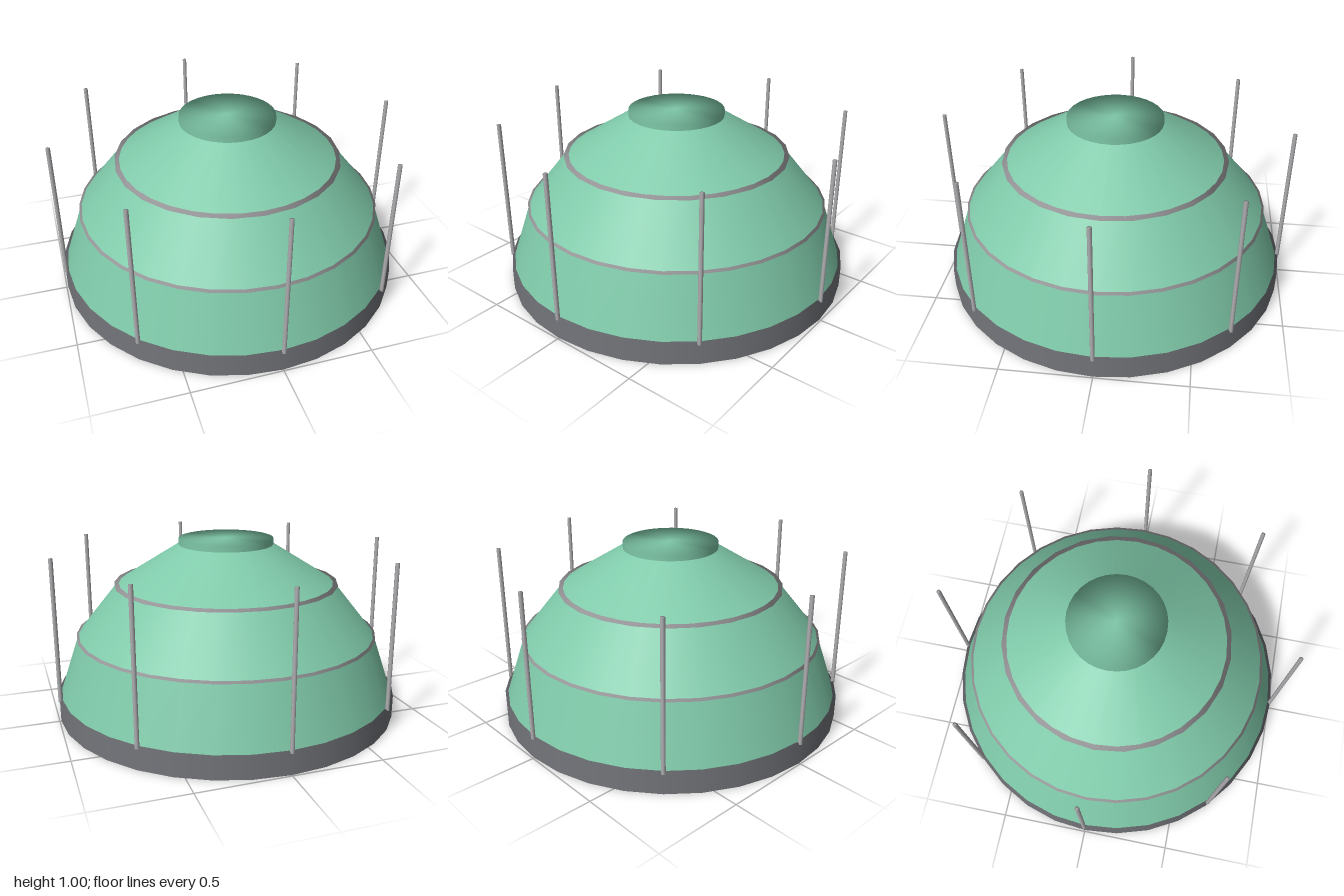
import * as THREE from 'three';

const green = new THREE.MeshStandardMaterial({ color: 0x7fc9a9 });
green.name = 'dome green';
const darkGrey = new THREE.MeshStandardMaterial({ color: 0x74767b });
darkGrey.name = 'base grey';
const lightGrey = new THREE.MeshStandardMaterial({ color: 0xb0afb2 });
lightGrey.name = 'metal grey';

// Round solid standing between two heights; its cap shading rolls softly into the wall
function drum(name, material, radius, y0, y1, sides) {
  const geometry = new THREE.CylinderGeometry(radius, radius, y1 - y0, sides);
  const { position, normal } = geometry.attributes;
  for (let i = 0; i < position.count; i++) {
    const x = position.getX(i), z = position.getZ(i), r = Math.hypot(x, z);
    if (r > 1e-4) normal.setXYZ(i, x / r, 0, z / r);
  }
  const mesh = new THREE.Mesh(geometry, material);
  mesh.name = name;
  mesh.position.y = (y0 + y1) / 2;
  return mesh;
}

export function createModel() {
  const model = new THREE.Group();
  model.name = 'domedTank';

  // Plinth
  model.add(drum('base', darkGrey, 0.992, 0, 0.125, 32));

  // Dome: stacked conical tiers given as [radius, height]
  const profile = [[0.975, 0.125], [0.862, 0.455], [0.627, 0.745], [0.27, 0.967]];
  const dome = new THREE.Group();
  dome.name = 'dome';
  for (let i = 0; i < profile.length - 1; i++) {
    const [r0, y0] = profile[i], [r1, y1] = profile[i + 1];
    const tier = new THREE.Mesh(new THREE.CylinderGeometry(r1, r0, y1 - y0, 32, 1, true), green);
    tier.name = 'domeTier';
    tier.position.y = (y0 + y1) / 2;
    dome.add(tier);
  }
  model.add(dome);

  // Crown on top of the dome
  model.add(drum('crown', green, 0.272, 0.965, 1, 32));

  // Hoops at the tier joints
  model.add(drum('lowerHoop', lightGrey, 0.872, 0.447, 0.459, 32));
  model.add(drum('upperHoop', lightGrey, 0.646, 0.738, 0.75, 24));

  // Eight upright rods around the base
  const rods = new THREE.Group();
  rods.name = 'rods';
  for (let i = 0; i < 8; i++) {
    const angle = (i * Math.PI) / 4;
    const rod = drum('rod', lightGrey, 0.012, 0.118, 0.943, 8);
    rod.position.x = 0.988 * Math.cos(angle);
    rod.position.z = 0.988 * Math.sin(angle);
    rods.add(rod);
  }
  model.add(rods);

  return model;
}
